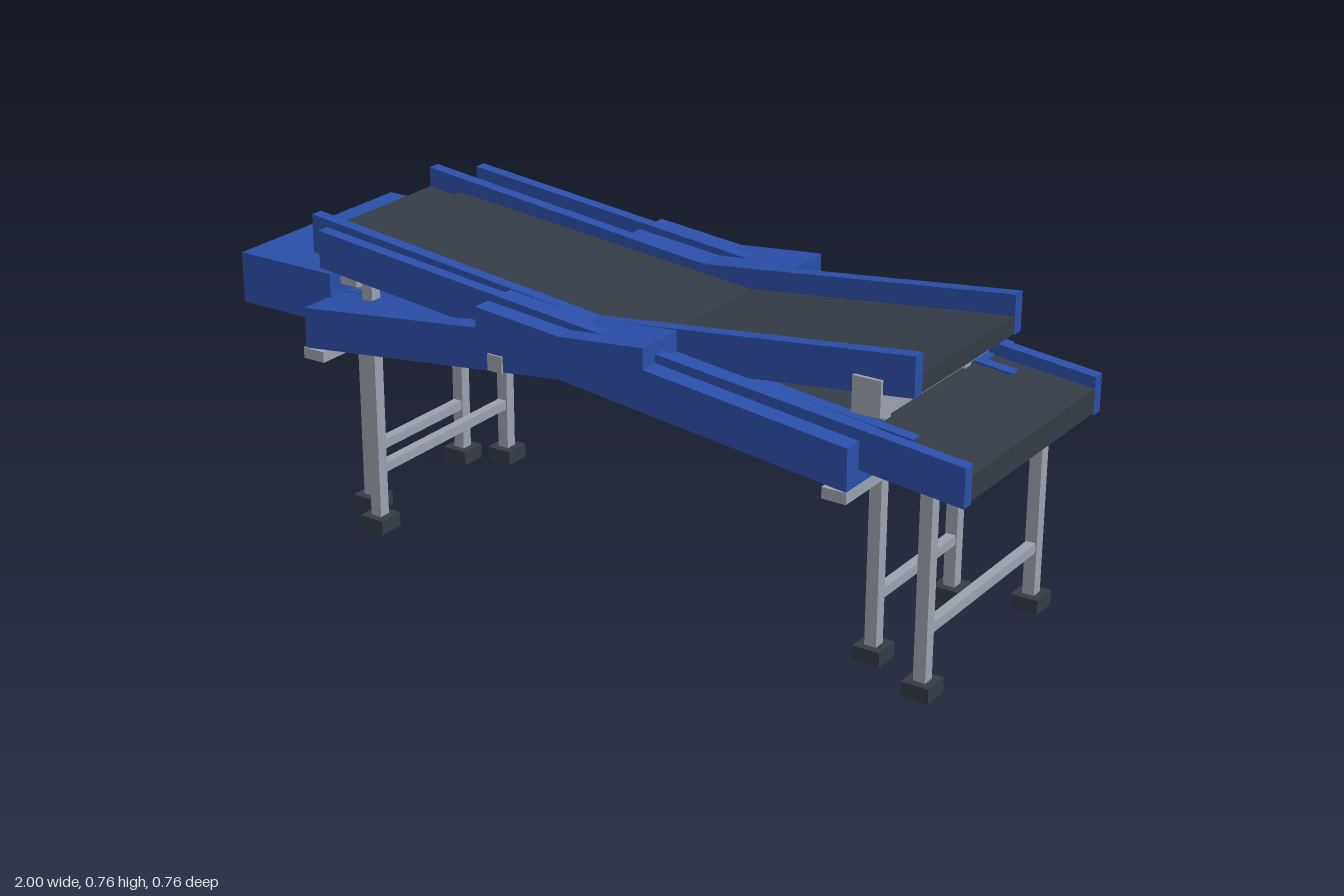
import * as THREE from 'three';

export function createModel() {
  const model = new THREE.Group();
  const material = (name, color) => {
    const m = new THREE.MeshStandardMaterial({ color });
    m.name = name;
    return m;
  };
  const blue = material('blue paint', 0x2b4fa9);
  const dark = material('dark rubber', 0x353c46);
  const steel = material('grey steel', 0x9ca3af);

  const add = (name, geometry, mat) => {
    const mesh = new THREE.Mesh(geometry, mat);
    mesh.name = name;
    model.add(mesh);
    return mesh;
  };
  const box = (name, mat, x0, x1, y0, y1, z0, z1) =>
    add(name, new THREE.BoxGeometry(x1 - x0, y1 - y0, z1 - z0), mat)
      .position.set((x0 + x1) / 2, (y0 + y1) / 2, (z0 + z1) / 2);
  // Side profile (x, y) extruded from z0 to z1
  const prism = (name, mat, points, z0, z1) => {
    const shape = new THREE.Shape(points.map(([x, y]) => new THREE.Vector2(x, y)));
    const geometry = new THREE.ExtrudeGeometry(shape, { depth: z1 - z0, bevelEnabled: false });
    geometry.translate(0, 0, z0);
    add(name, geometry, mat);
  };
  // Band of constant height hanging below a top line
  const band = (line, height) => [
    ...line.map(([x, y]) => [x, y - height]),
    ...[...line].reverse(),
  ];
  const lower = (line, d) => line.map(([x, y]) => [x, y - d]);
  const sides = [['left', 1], ['right', -1]];
  const prismPair = (name, mat, points, inner, outer, c = 0) => {
    prism(name + 'Front', mat, points, c + inner, c + outer);
    prism(name + 'Back', mat, points, c - outer, c - inner);
  };

  // Upper conveyor, dipping in the middle
  const dip = [[-0.81, 0.76], [0.01, 0.667], [0.83, 0.76]];
  prismPair('upperRail', blue, band(dip, 0.095), 0.208, 0.24);
  prism('upperBelt', dark, band(lower(dip, 0.05), 0.042), -0.208, 0.208);

  // Lower conveyor, rising in the middle
  const rise = [[-0.81, 0.573], [0.01, 0.662], [0.83, 0.573]];
  prismPair('lowerRail', blue, band(rise, 0.093), 0.21, 0.24);
  prism('lowerBelt', dark, band(lower(rise, 0.045), 0.035), -0.21, 0.21);

  // Broad side covers with a raised centre section
  const cover = [
    [-0.73, 0.48], [0.01, 0.566], [0.75, 0.48], [0.75, 0.58],
    [0.235, 0.64], [0.235, 0.69], [0.01, 0.668], [-0.22, 0.69],
    [-0.22, 0.64], [-0.73, 0.58],
  ];
  prismPair('sideCover', blue, cover, 0.21, 0.373);

  // Wide conveyor sloping down to one end
  const c = 0.007;
  prismPair('slopingRail', blue, band([[-0.718, 0.76], [1, 0.58]], 0.092), 0.286, 0.317, c);
  prism('slopingBelt', dark, band([[-0.716, 0.712], [1, 0.553]], 0.058), c - 0.286, c + 0.286);
  box('endHousing', blue, -1, -0.722, 0.513, 0.64, -0.28, 0.287);

  // Leg frame: two posts, feet and a tie bar
  const stand = (name, x, half, top, zc) => {
    for (const [, s] of sides) {
      const z = zc + s * half;
      box(name + 'Leg', steel, x - 0.015, x + 0.015, 0.03, top, z - 0.015, z + 0.015);
      box(name + 'Foot', dark, x - 0.034, x + 0.034, 0, 0.036, z - 0.034, z + 0.034);
    }
    box(name + 'TieBar', steel, x - 0.012, x + 0.012, 0.144, 0.168, zc - half, zc + half);
  };
  stand('highEnd', -0.615, 0.255, 0.645, 0.01);
  stand('lowEnd', 0.89, 0.255, 0.485, 0.01);

  for (const x of [-0.708, 0.72]) {
    stand('main', x, 0.18, 0.62, 0);
    // Cross beams carrying the two bent conveyors
    box('upperCrossBeam', steel, x - 0.035, x + 0.035, 0.602, 0.662, -0.24, 0.24);
    for (const [, s] of sides) {
      box('beamEndPlate', steel, x - 0.035, x + 0.035, 0.605, 0.69, s * 0.244 - 0.005, s * 0.244 + 0.005);
    }
    box('lowerCrossBeam', steel, x - 0.03, x + 0.03, 0.452, 0.479, -0.373, 0.373);
    box('beamStiffener', steel, x - 0.04, x + 0.015, 0.442, 0.488, -0.245, 0.245);
  }

  // Small joint brackets around the centre bend
  for (const x of [-0.165, 0.18]) {
    for (const [, s] of sides) {
      box('jointBracket', steel, x - 0.02, x + 0.02, 0.535, 0.575, s * 0.195 - 0.018, s * 0.195 + 0.018);
    }
    const z = x < 0 ? 0.374 : -0.374;
    box('jointPlate', steel, x - 0.02, x + 0.02, 0.546, 0.586, z - 0.004, z + 0.004);
  }

  return model;
}
